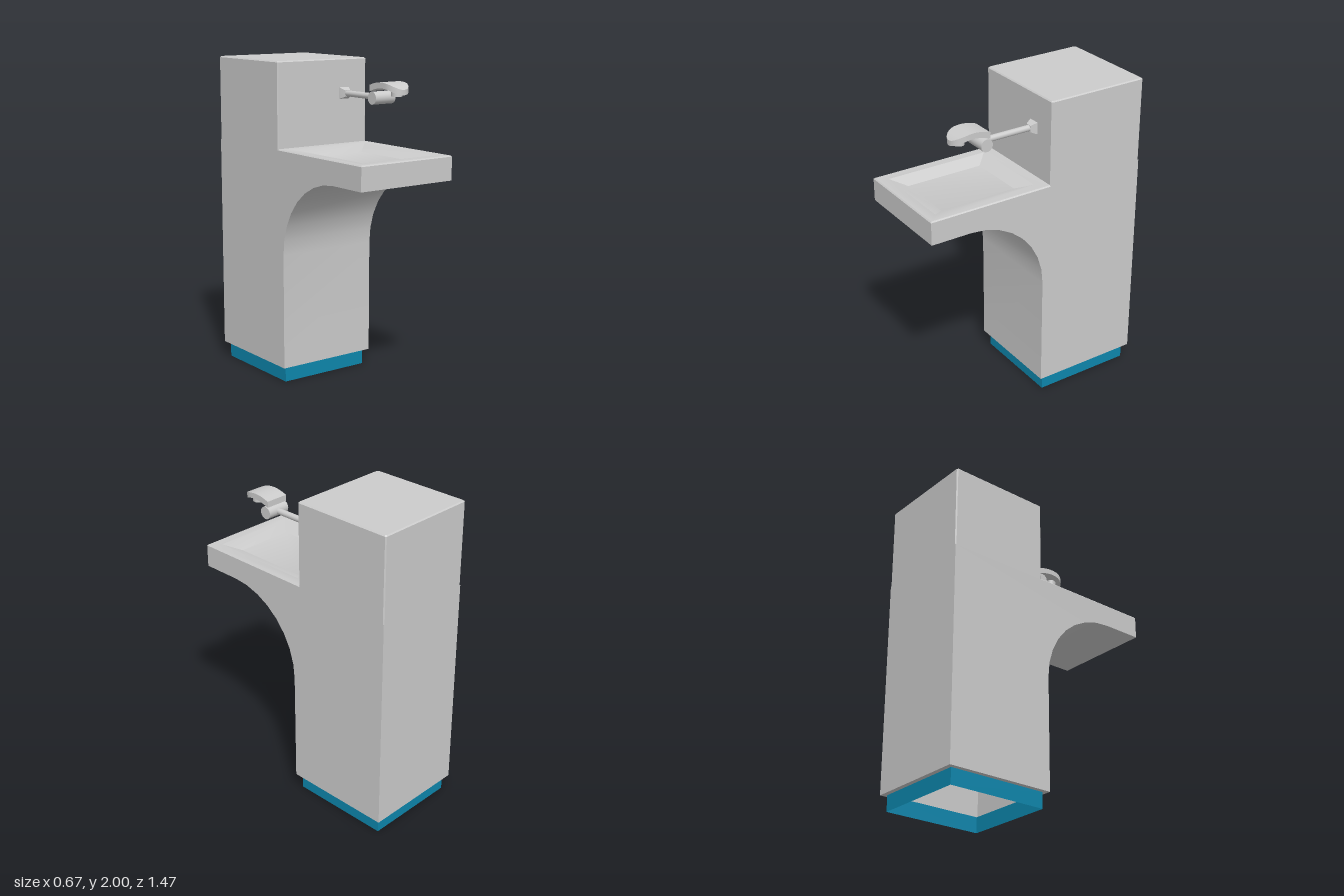
import * as THREE from 'three';
import { toCreasedNormals } from 'three/addons/utils/BufferGeometryUtils.js';

const grey = new THREE.MeshStandardMaterial({ color: 0xcccccc, side: THREE.DoubleSide });
const blue = new THREE.MeshStandardMaterial({ color: 0x0d86ac, side: THREE.DoubleSide });

const W = 0.335, BACK = -0.737, FRONT = 0.737, WALL = -0.075, DECK = 1.466;

// Skin a list of equal-length point rings; optional caps at both ends.
function loft(rings, { closed = true, capStart = false, capEnd = false, crease = 0.5 } = {}) {
  const n = rings[0].length, index = [];
  for (let r = 0; r < rings.length - 1; r++) {
    for (let i = 0; i < (closed ? n : n - 1); i++) {
      const a = r * n + i, b = r * n + (i + 1) % n;
      index.push(a, b, b + n, a, b + n, a + n);
    }
  }
  const last = (rings.length - 1) * n;
  for (let i = 1; i < n - 1; i++) {
    if (capStart) index.push(0, i + 1, i);
    if (capEnd) index.push(last, last + i, last + i + 1);
  }
  const geo = new THREE.BufferGeometry();
  geo.setAttribute('position', new THREE.Float32BufferAttribute(rings.flat(2), 3));
  geo.setIndex(index);
  return toCreasedNormals(geo, crease);
}

// Horizontal rectangle ring, anticlockwise seen from above, with optional cut corners.
function rect(x0, x1, z0, z1, y, c = 0) {
  if (!c) return [[x0, y, z1], [x1, y, z1], [x1, y, z0], [x0, y, z0]];
  return [
    [x0 + c, y, z1], [x1 - c, y, z1], [x1, y, z1 - c], [x1, y, z0 + c],
    [x1 - c, y, z0], [x0 + c, y, z0], [x0, y, z0 + c], [x0, y, z1 - c],
  ];
}

export function createModel() {
  const model = new THREE.Group();
  const add = (name, geometry, material = grey, parent = model) => {
    const mesh = new THREE.Mesh(geometry, material);
    mesh.name = name;
    parent.add(mesh);
    return mesh;
  };

  // Plinth: open blue frame set in from the body
  add('plinth', loft([rect(-0.305, 0.305, -0.707, -0.058, 0), rect(-0.305, 0.305, -0.707, -0.058, 0.1)]), blue);
  add('bottomLip', loft([rect(-0.305, 0.305, -0.707, -0.058, 0.1), rect(-W, W, BACK, -0.028, 0.1)]));

  // Pedestal: front wall sweeping out under the basin, as [z, y]
  const front = [[-0.028, 0.1]];
  for (let i = 0; i <= 8; i++) {
    const a = Math.PI - (i / 8) * Math.PI / 2;
    front.push([0.48 + 0.508 * Math.cos(a), 0.82 + 0.505 * Math.sin(a)]);
  }
  front.push([FRONT, 1.325], [FRONT, DECK]);
  const back = [[BACK, DECK], [BACK, 0.1]];
  const strip = (pts) => loft(pts.map(([z, y]) => [[-W, y, z], [W, y, z]]), { closed: false });
  add('pedestalFront', strip(front));
  add('pedestalBack', strip(back));
  const sideShape = new THREE.Shape([...front, ...back].map(([z, y]) => new THREE.Vector2(z, y)));
  for (const [name, x] of [['leftSide', W], ['rightSide', -W]]) {
    add(name, new THREE.ShapeGeometry(sideShape).rotateY(-Math.PI / 2).translate(x, 0, 0));
  }

  // Upper cabinet with finely chamfered edges
  const c = 0.007;
  add('cabinet', loft([
    rect(-W, W, BACK, WALL, DECK, c),
    rect(-W, W, BACK, WALL, 2 - c, c),
    rect(-W + c, W - c, BACK + c, WALL - c, 2, c),
  ], { capEnd: true }));

  // Basin: chamfered rim, flat border, shallow sloping walls and floor
  add('basin', loft([
    rect(-W, W, WALL, FRONT, DECK),
    rect(-W + c, W - c, WALL, FRONT - c, 1.473),
    rect(-0.27, 0.27, 0, 0.67, 1.473),
    rect(-0.196, 0.18, 0.08, 0.58, 1.432),
  ], { capEnd: true, crease: 0.49 }));

  // Spout
  const spout = new THREE.Group();
  spout.name = 'spout';
  spout.position.set(0.16, 1.786, 0);
  model.add(spout);

  const square = (s, z) => [[-s, -s, z], [s, -s, z], [s, s, z], [-s, s, z]];
  add('spoutFlange', loft([square(0.036, WALL), square(0.032, -0.062), square(0.02, -0.035)], { capEnd: true }), grey, spout);
  add('spoutArm', new THREE.CylinderGeometry(0.019, 0.019, 0.33, 24).rotateX(Math.PI / 2).translate(0, 0, 0.12), grey, spout);
  add('spoutBarrel', new THREE.CylinderGeometry(0.039, 0.039, 0.15, 32).rotateZ(Math.PI / 2).translate(0, 0, 0.3), grey, spout);
  add('spoutNozzle', new THREE.CylinderGeometry(0.033, 0.033, 0.04, 24).translate(0, 0.037, 0.44), grey, spout);

  // Arched hood with a rounded tip: [z, bottom, top] along its length
  const curve = new THREE.CatmullRomCurve3([
    [0.278, 0.04, 0.078], [0.33, 0.056, 0.093], [0.385, 0.064, 0.099],
    [0.44, 0.058, 0.092], [0.48, 0.042, 0.077], [0.507, 0.028, 0.06],
  ].map(([z, lo, hi]) => new THREE.Vector3(z, lo, hi)));
  const hood = [];
  for (let i = 0; i <= 24; i++) {
    const p = curve.getPoint(Math.sin((i / 24) * Math.PI / 2));
    const k = Math.max(0, (p.x - 0.42) / 0.087);
    const w = 0.075 * Math.sqrt(Math.max(0.0004, 1 - k * k));
    hood.push([[-w, p.y, p.x], [w, p.y, p.x], [w, p.z, p.x], [-w, p.z, p.x]]);
  }
  add('spoutHood', loft(hood, { capStart: true, capEnd: true, crease: 0.7 }), grey, spout);

  return model;
}
